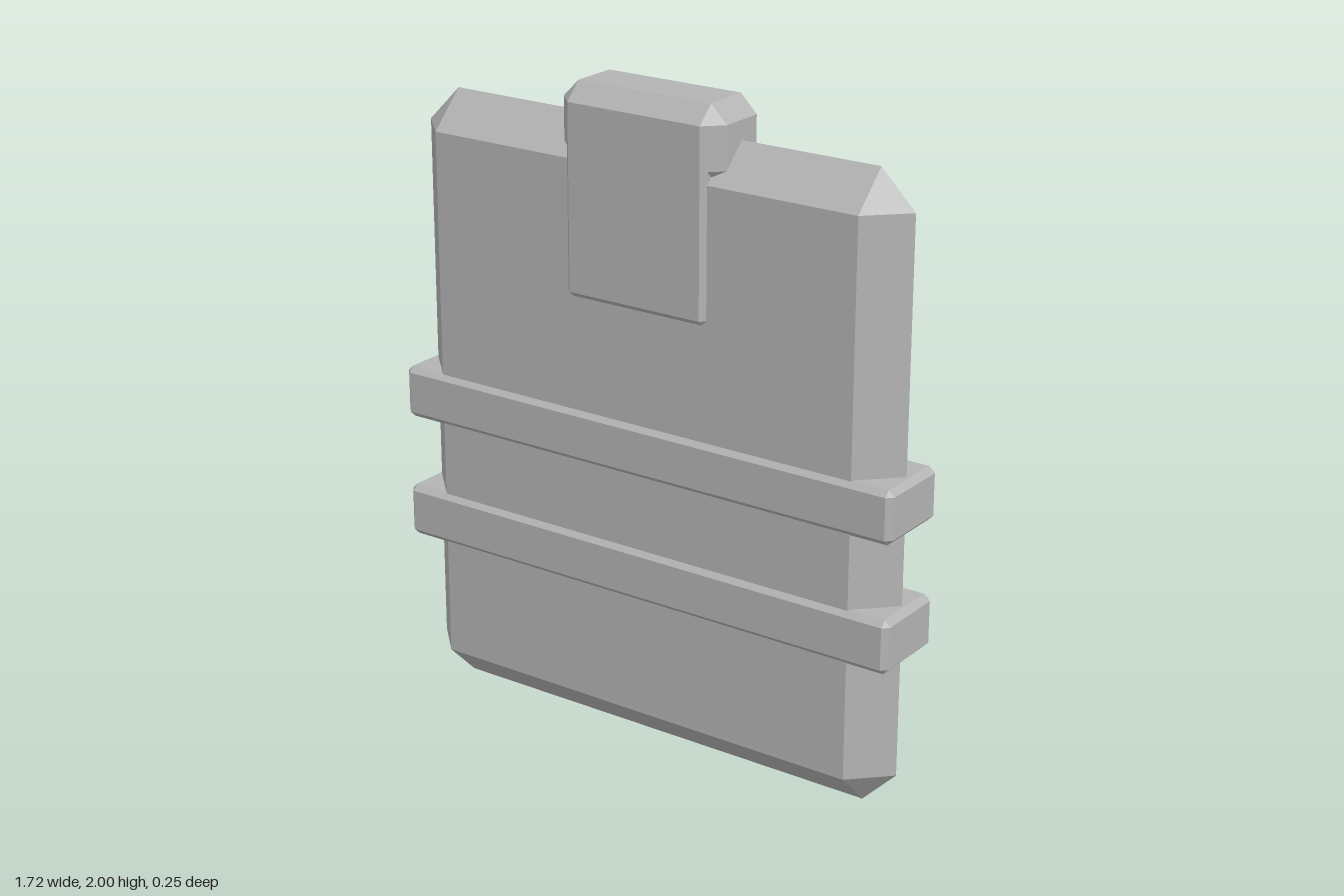
import * as THREE from 'three';
import { ConvexGeometry } from 'three/addons/geometries/ConvexGeometry.js';

// Box with every edge chamfered by b, spanning y0..y1 and centred on x and z
function chamferBox(hx, y0, y1, hz, b) {
  const hy = (y1 - y0) / 2, cy = (y0 + y1) / 2;
  const points = new Map();
  for (const sx of [-1, 1]) for (const sy of [-1, 1]) for (const sz of [-1, 1]) {
    for (const [x, y, z] of [
      [hx, hy - b, hz - b],
      [hx - b, hy, hz - b],
      [hx - b, hy - b, hz],
    ]) {
      const p = new THREE.Vector3(sx * x, cy + sy * y, sz * z);
      // shared ridge points are kept only once
      points.set([p.x, p.y, p.z].map((v) => Math.round(v * 1e5)).join(), p);
    }
  }
  return new ConvexGeometry([...points.values()]);
}

export function createModel() {
  const model = new THREE.Group();
  model.name = 'strappedPlate';

  const grey = new THREE.MeshStandardMaterial({ color: 0xb4b4b4 });
  grey.name = 'grey';

  const add = (name, ...size) => {
    const mesh = new THREE.Mesh(chamferBox(...size), grey);
    mesh.name = name;
    model.add(mesh);
  };

  // Main slab, chamfered to a ridge all round
  add('body', 0.833, 0, 1.89, 0.11, 0.11);

  // Two straps around the slab
  add('lowerBand', 0.86, 0.477, 0.642, 0.125, 0.018);
  add('upperBand', 0.86, 0.867, 1.03, 0.125, 0.018);

  // Clip over the top edge: narrow tongue and wider head
  add('clipTongue', 0.24, 1.375, 1.9, 0.125, 0.015);
  add('clipHead', 0.278, 1.765, 2, 0.125, 0.053);

  return model;
}
